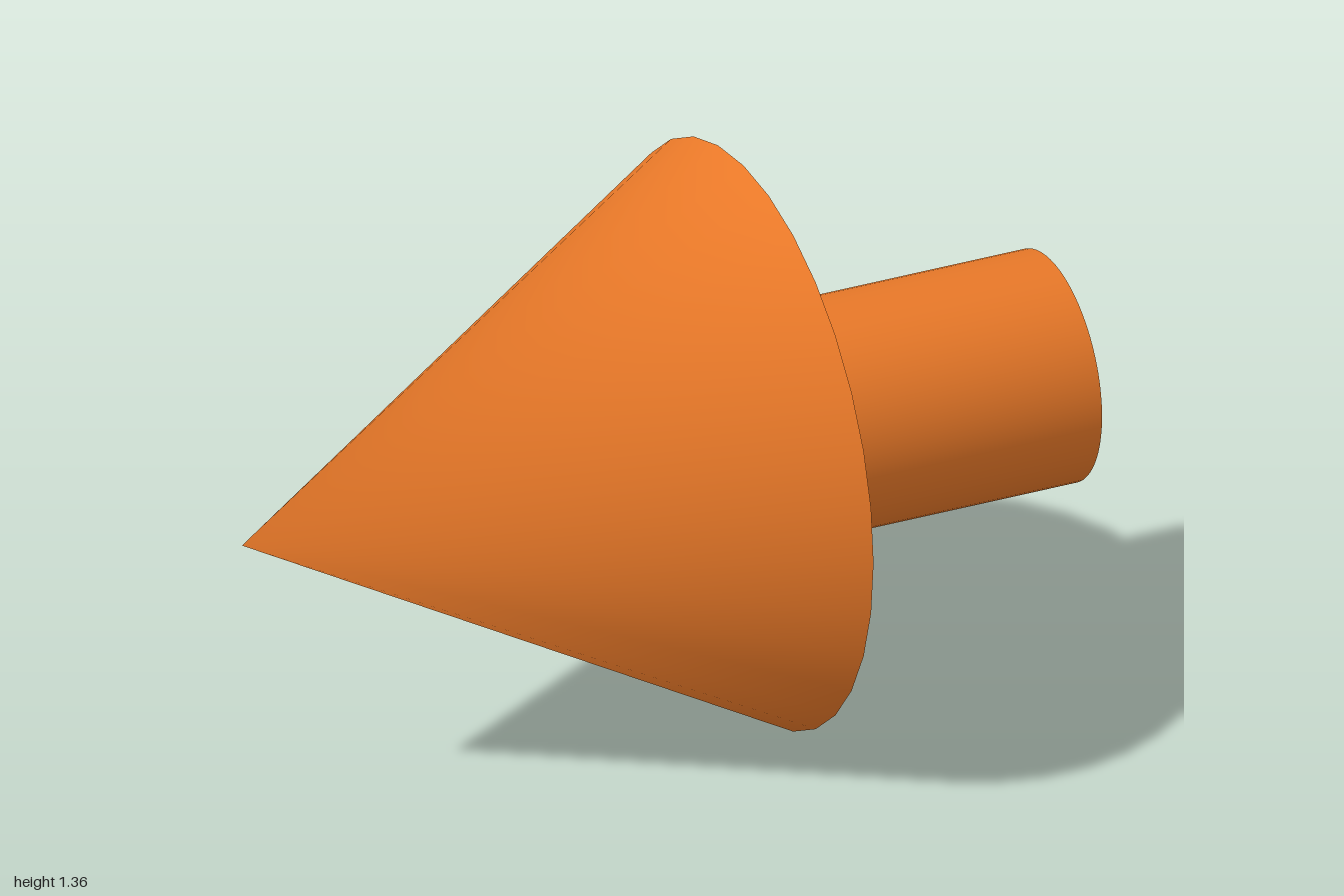
import * as THREE from 'three';
import { mergeVertices } from 'three/addons/utils/BufferGeometryUtils.js';

const AXIS_Y = 0.68;

// Lays a y-axis geometry along x, with its top end towards -x
function layAlongX(geometry, fromX, toX) {
  return geometry.rotateZ(Math.PI / 2).translate((fromX + toX) / 2, AXIS_Y, 0);
}

export function createModel() {
  const group = new THREE.Group();
  group.name = 'arrow';
  const orange = new THREE.MeshStandardMaterial({ color: 0xe87828, side: THREE.DoubleSide });

  // Hollow cone head, open at the back, smooth over the tip
  const tipX = -1, rimX = 0.24;
  let cone = new THREE.ConeGeometry(0.68, rimX - tipX, 32, 1, true);
  cone.deleteAttribute('uv');
  cone.deleteAttribute('normal');
  cone = mergeVertices(cone);
  cone.computeVertexNormals();
  const head = new THREE.Mesh(layAlongX(cone, tipX, rimX), orange);
  head.name = 'arrowHead';
  group.add(head);

  // Round shaft, reaching a little way into the hollow head
  const innerX = -0.07, endX = 1;
  const rod = new THREE.CylinderGeometry(0.268, 0.268, endX - innerX, 64);
  const shaft = new THREE.Mesh(layAlongX(rod, innerX, endX), orange);
  shaft.name = 'shaft';
  group.add(shaft);

  return group;
}
